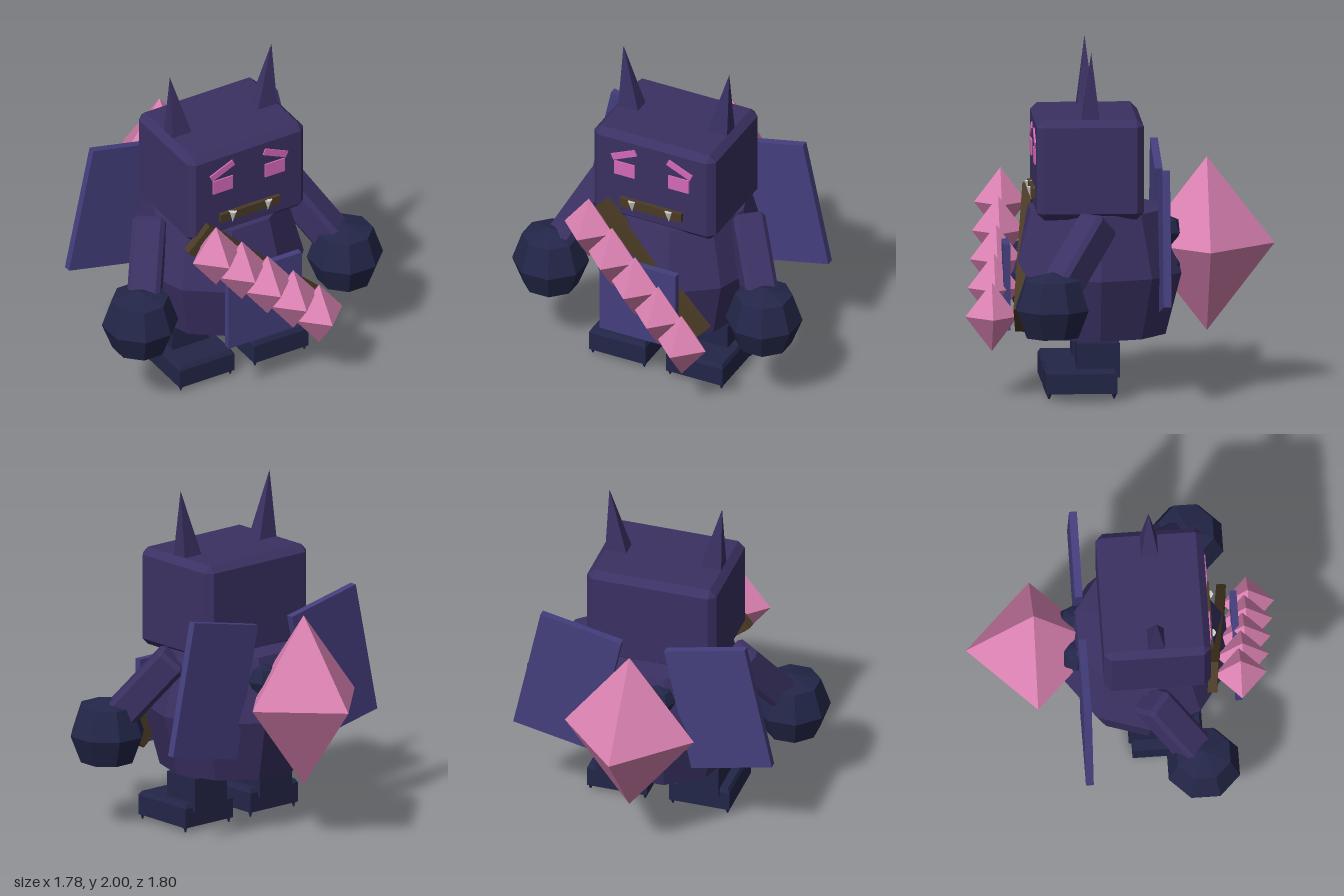
import * as THREE from 'three';
import { ConvexGeometry } from 'three/addons/geometries/ConvexGeometry.js';

const mat = (name, color) => {
  const m = new THREE.MeshStandardMaterial({ color, flatShading: true });
  m.name = name;
  return m;
};

// Box with every edge and corner cut off by c
function chamferBox(w, h, d, c) {
  const p = [];
  const [x, y, z] = [w / 2, h / 2, d / 2];
  for (const i of [-1, 1]) for (const j of [-1, 1]) for (const k of [-1, 1]) {
    p.push(new THREE.Vector3(i * x, j * (y - c), k * (z - c)));
    p.push(new THREE.Vector3(i * (x - c), j * y, k * (z - c)));
    p.push(new THREE.Vector3(i * (x - c), j * (y - c), k * z));
  }
  return new ConvexGeometry(p);
}

// Faceted turned shape; profile runs from bottom to top
function facetLathe(profile, sides, turn) {
  const g = new THREE.LatheGeometry(profile.map(([r, y]) => new THREE.Vector2(r, y)), sides);
  return g.rotateY(turn);
}

function gemGeometry(x, y, z) {
  return new THREE.OctahedronGeometry(1, 0).scale(x, y, z);
}

export function createModel() {
  const skin = mat('dark purple', 0x3b3163);
  const plate = mat('blue violet', 0x443f7e);
  const navy = mat('navy', 0x232648);
  const crystal = mat('crystal pink', 0xdb82b2);
  const glow = mat('eye pink', 0xd469b8);
  const leather = mat('brown', 0x4a3b25);
  const bone = mat('bone white', 0xd4d2d0);

  const root = new THREE.Group();
  const model = new THREE.Group();
  model.name = 'creature';
  model.position.x = -0.01;
  root.add(model);

  const add = (name, geometry, material, x = 0, y = 0, z = 0, parent = model) => {
    const m = new THREE.Mesh(geometry, material);
    m.name = name;
    m.position.set(x, y, z);
    parent.add(m);
    return m;
  };

  // Ten-sided barrel body and chamfered head
  add('body', facetLathe([[0, 0.33], [0.41, 0.33], [0.505, 0.69], [0.405, 1.055], [0, 1.09]], 10, Math.PI / 10),
    skin, 0, 0, 0.125);
  add('head', chamferBox(0.78, 0.58, 0.615, 0.04), skin, 0, 1.32, 0.18);
  add('bellyPlate', new THREE.BoxGeometry(0.49, 0.5, 0.04), plate, 0, 0.625, 0.655);

  // Mouth
  add('mouth', new THREE.BoxGeometry(0.395, 0.055, 0.035), leather, 0, 1.163, 0.495);

  // Foot with a hollow sole
  const r2 = Math.SQRT2;
  const foot = facetLathe(
    [[0, 0.08], [0.68, 0.08], [0.72, 0.03], [1, 0.03], [1, 0.145], [0.93, 0.168], [0, 0.168]]
      .map(([r, y]) => [r * r2, y]), 4, Math.PI / 4).scale(0.182, 1, 0.205);

  const hand = facetLathe([[0, 0.405], [0.16, 0.405], [0.222, 0.565], [0.165, 0.735], [0, 0.78]], 8, Math.PI / 8);
  const knob = new THREE.SphereGeometry(0.1, 8, 4);

  for (const s of [1, -1]) {
    const side = s > 0 ? 'left' : 'right';

    // Ear spike leaning to the outside
    const ear = [[0.22, -0.05], [0.35, -0.05], [0.35, 0.05], [0.22, 0.05]]
      .map(([x, z]) => new THREE.Vector3(s * x, 1.6, 0.175 + z));
    ear.push(new THREE.Vector3(s * 0.34, 2, 0.175));
    add(side + 'Ear', new ConvexGeometry(ear), skin);

    // Eye, brow and fang
    add(side + 'Eye', new THREE.BoxGeometry(0.132, 0.088, 0.009), glow, s * 0.174, 1.382, 0.492);
    const brow = add(side + 'Brow', new THREE.BoxGeometry(0.165, 0.04, 0.009), glow, s * 0.178, 1.482, 0.492);
    brow.rotation.z = -s * 0.42;
    add(side + 'Fang', new THREE.ConeGeometry(0.026, 0.075, 6).rotateX(Math.PI),
      bone, s * 0.118, 1.153, 0.508);

    // Arm reaching out and forward, ending in a faceted fist
    const a = new THREE.Vector3(s * 0.435, 1.035, 0.13);
    const b = new THREE.Vector3(s * 0.69, 0.57, 0.44);
    const mid = a.clone().lerp(b, 0.5);
    const arm = add(side + 'Arm', chamferBox(0.19, 0.19, a.distanceTo(b), 0.025), skin, mid.x, mid.y, mid.z);
    arm.lookAt(b);
    add(side + 'Hand', hand, navy, s * 0.685, 0, 0.42);

    // Leg and foot with small corner studs
    add(side + 'Leg', new THREE.BoxGeometry(0.245, 0.2, 0.245), navy, s * 0.248, 0.215, 0.135);
    add(side + 'Foot', foot, navy, s * 0.248, 0, 0.235);
    for (const i of [-1, 1]) for (const k of [-1, 1]) {
      add(side + 'FootStud', new THREE.CylinderGeometry(0.018, 0.004, 0.035, 4),
        navy, s * 0.248 + i * 0.165, 0.0175, 0.235 + k * 0.187);
    }

    // Back plate
    const wing = add(side + 'BackPlate', new THREE.BoxGeometry(0.497, 0.789, 0.045), plate, s * 0.455, 0.918, -0.24);
    wing.rotation.z = s * 0.21;

    // Knobs holding the back crystal
    for (const y of [0.92, 0.74]) add(side + 'BackKnob', knob, navy, s * 0.1, y, -0.27);
  }

  // Large crystal on the back
  add('backCrystal', gemGeometry(0.39, 0.505, 0.39), crystal, 0, 0.835, -0.51);

  // Diagonal chest strap with a row of crystals
  const strap = new THREE.Group();
  strap.name = 'chestStrap';
  strap.position.set(0, 0.765, 0.545);
  strap.rotation.y = -0.13;
  model.add(strap);
  const band = add('strapBand', new THREE.BoxGeometry(0.95, 0.2, 0.055), leather, 0, 0, 0, strap);
  band.rotation.z = -0.73;

  const stud = gemGeometry(0.156, 0.2, 0.152);
  for (let i = 0; i < 5; i++) {
    const t = i / 4;
    add('strapCrystal', stud, crystal, -0.32 + 0.638 * t, 1.038 - 0.57 * t, 0.66 + 0.086 * t);
  }

  return root;
}
